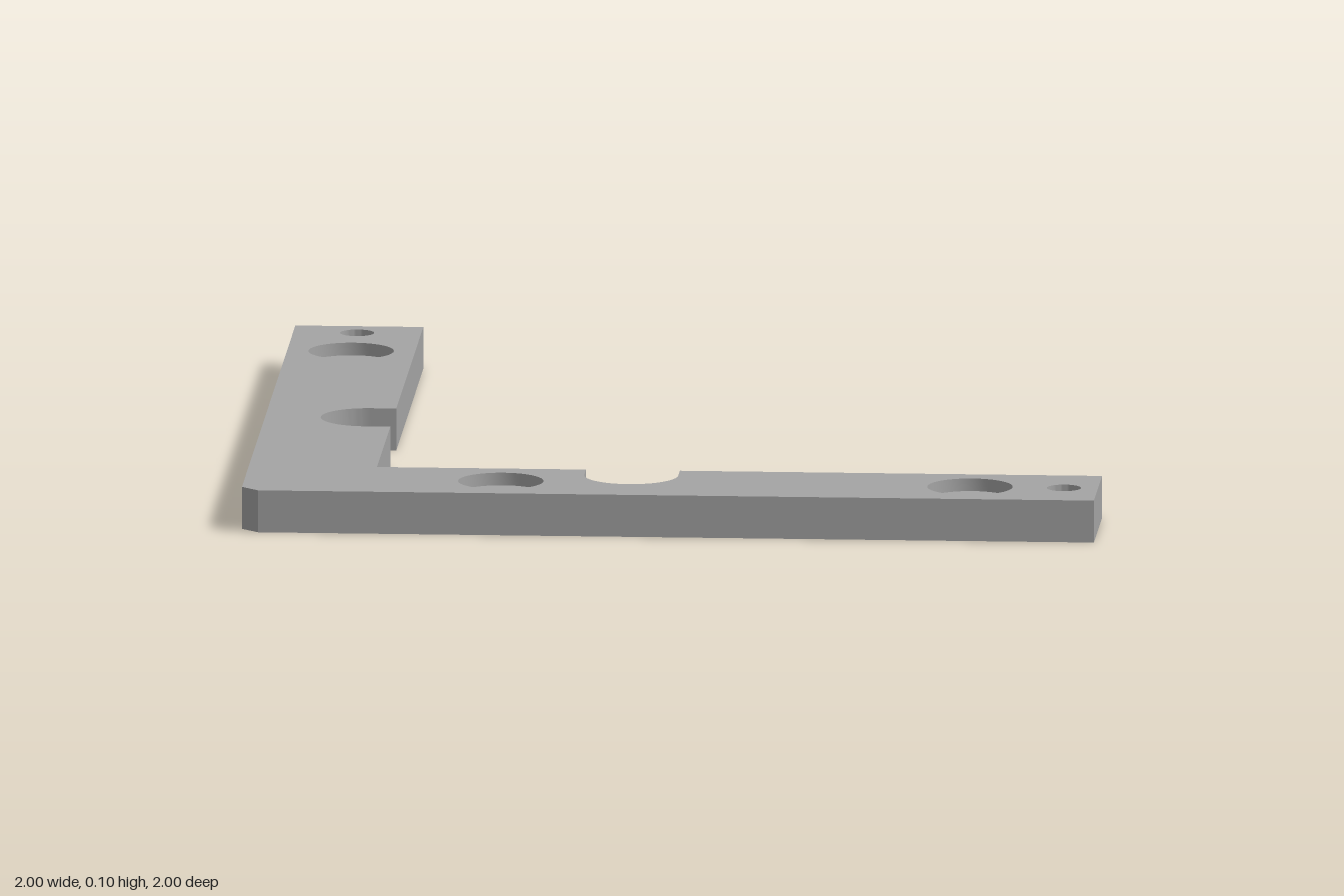
import * as THREE from 'three';
import { mergeGeometries, toCreasedNormals } from 'three/addons/utils/BufferGeometryUtils.js';

const H = 0.1;          // plate thickness
const SEAT = 0.07;      // height of the counterbore floor
const IN = -0.7;        // inner edge of both arms
const SEG = 24;         // curve divisions (a full circle gets twice as many)
const R_BORE = 0.1, R_SCREW = 0.055, R_PIN = 0.04;

const screws = [[-0.85, -0.7], [-0.4, 0.85], [0.7, 0.85]];   // x, z
const pins = [[-0.85, -0.92], [0.92, 0.85]];

// L-shaped outline with a round-bottomed notch in each arm; shape y is -z
function outline(screwRadius) {
  const s = new THREE.Shape();
  s.moveTo(-0.96, -1);
  s.lineTo(1, -1);
  s.lineTo(1, IN);
  s.lineTo(0.01, IN);
  s.lineTo(0.01, -0.76);
  s.absarc(-0.1, -0.76, 0.11, 0, Math.PI, true);
  s.lineTo(-0.21, IN);
  s.lineTo(IN, IN);
  s.lineTo(IN, -0.21);
  s.lineTo(-0.76, -0.21);
  s.absarc(-0.76, -0.1, 0.11, -Math.PI / 2, Math.PI / 2, true);
  s.lineTo(IN, 0.01);
  s.lineTo(IN, 1);
  s.lineTo(-1, 1);
  s.lineTo(-1, -0.96);
  s.closePath();
  const drill = (r) => ([x, z]) =>
    s.holes.push(new THREE.Path().absarc(x, -z, r, 0, Math.PI * 2, true));
  if (screwRadius) {
    screws.forEach(drill(screwRadius));
    pins.forEach(drill(R_PIN));
  }
  return s;
}

// Keep positions only, so that the pieces merge cleanly
function bare(geometry) {
  const g = geometry.toNonIndexed();
  g.deleteAttribute('uv');
  g.deleteAttribute('normal');
  return g;
}

function plateGeometry() {
  // Top face is open to the counterbores, bottom face only to the screw holes
  const top = new THREE.ShapeGeometry(outline(R_BORE), SEG).translate(0, 0, H);
  const bottom = new THREE.ShapeGeometry(outline(R_SCREW), SEG);
  bottom.index.array.reverse();

  // Outer walls: the side group of a plain extrusion
  const solid = new THREE.ExtrudeGeometry(outline(0), { depth: H, bevelEnabled: false, curveSegments: SEG });
  const { start, count } = solid.groups[1];
  const walls = new THREE.BufferGeometry();
  walls.setAttribute('position', new THREE.BufferAttribute(
    solid.attributes.position.array.slice(start * 3, (start + count) * 3), 3));

  const merged = mergeGeometries([bare(top), bare(bottom), walls]);
  return toCreasedNormals(merged.rotateX(-Math.PI / 2), 0.5);
}

// Inward-facing hole lining, profile given from the top down
function lining(profile) {
  const points = profile.map(([r, y]) => new THREE.Vector2(r, y));
  return toCreasedNormals(new THREE.LatheGeometry(points, SEG * 2), 0.5);
}

export function createModel() {
  const group = new THREE.Group();
  group.name = 'cornerBracket';
  const material = new THREE.MeshStandardMaterial({ color: 0xa4a4a4 });   // dark grey

  const add = (name, geometry, x = 0, z = 0) => {
    const mesh = new THREE.Mesh(geometry, material);
    mesh.name = name;
    mesh.position.set(x, 0, z);
    group.add(mesh);
  };

  add('plate', plateGeometry());

  // Counterbored screw holes
  const bore = lining([[R_BORE, H], [R_BORE, SEAT], [R_SCREW, SEAT], [R_SCREW, 0]]);
  screws.forEach(([x, z], i) => add(`screwHole${i + 1}`, bore, x, z));

  // Plain pin holes near the arm ends
  const pin = lining([[R_PIN, H], [R_PIN, 0]]);
  pins.forEach(([x, z], i) => add(`pinHole${i + 1}`, pin, x, z));

  return group;
}
